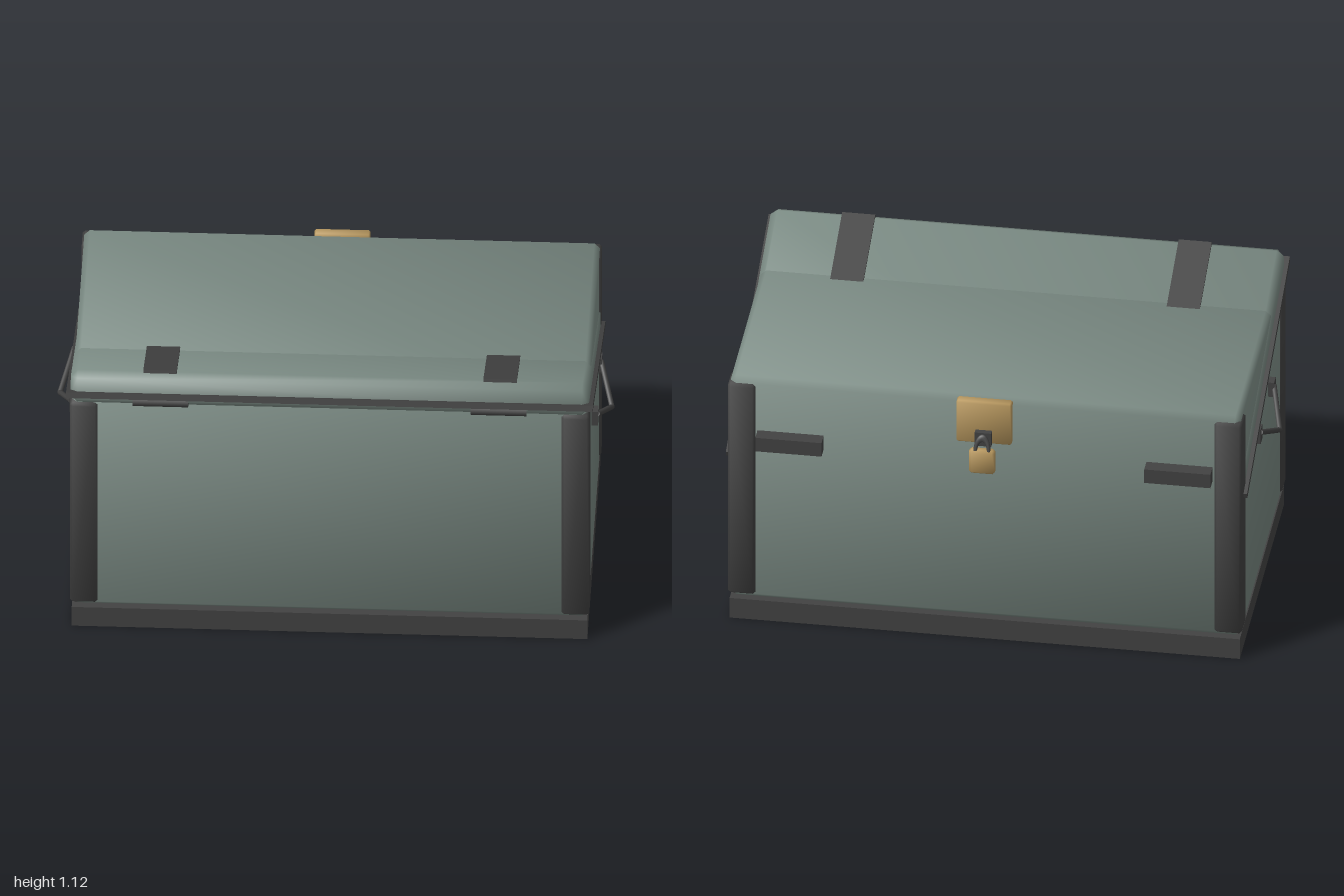
import * as THREE from 'three';
import { ConvexGeometry } from 'three/addons/geometries/ConvexGeometry.js';

const green = new THREE.MeshStandardMaterial({ color: 0x7c8c85 });
const dark = new THREE.MeshStandardMaterial({ color: 0x424242 });
const brass = new THREE.MeshStandardMaterial({ color: 0xb8985f });

// Box with cut edges and softly blended normals
function bevelBox(w, h, d, b) {
  const half = [w / 2, h / 2, d / 2];
  const points = [];
  for (const sx of [-1, 1]) for (const sy of [-1, 1]) for (const sz of [-1, 1]) {
    for (let full = 0; full < 3; full++) {
      const p = [sx, sy, sz].map((s, i) => s * (half[i] - (i === full ? 0 : b)));
      points.push(new THREE.Vector3(...p));
    }
  }
  const geo = new ConvexGeometry(points);
  const pos = geo.attributes.position;
  const n = new THREE.Vector3();
  for (let i = 0; i < pos.count; i++) {
    const c = [pos.getX(i), pos.getY(i), pos.getZ(i)]
      .map((v, k) => Math.sign(v) * (Math.abs(v) > half[k] - b / 2 ? 2.8 : 1.09));
    n.set(...c).normalize();
    geo.attributes.normal.setXYZ(i, n.x, n.y, n.z);
  }
  return geo;
}

function add(parent, name, geometry, material, x = 0, y = 0, z = 0) {
  const mesh = new THREE.Mesh(geometry, material);
  mesh.name = name;
  mesh.position.set(x, y, z);
  parent.add(mesh);
  return mesh;
}

// Round bar between two points
function addBar(parent, name, a, b, radius) {
  const dir = b.clone().sub(a);
  const mesh = add(parent, name, new THREE.CylinderGeometry(radius, radius, dir.length(), 8), dark);
  mesh.position.copy(a).add(b).multiplyScalar(0.5);
  mesh.quaternion.setFromUnitVectors(new THREE.Vector3(0, 1, 0), dir.normalize());
}

export function createModel() {
  const model = new THREE.Group();
  model.name = 'storageChest';

  // Base and body
  add(model, 'base', new THREE.BoxGeometry(1.85, 0.083, 1.05), dark, 0, 0.0415, 0.03);
  add(model, 'body', bevelBox(1.85, 0.927, 1.03, 0.02), green, 0, 0.5465, 0.03);

  // Corner posts
  for (const x of [-0.882, 0.882]) {
    for (const z of [-0.45, 0.51]) {
      add(model, 'cornerPost', bevelBox(0.1, 0.885, 0.1, 0.01), dark, x, 0.5475, z);
    }
  }

  // Tilted lid with its rim and straps
  const lid = new THREE.Group();
  lid.name = 'lid';
  lid.position.set(0, 0.85, 0.06);
  lid.rotation.x = -THREE.MathUtils.degToRad(20.1);
  model.add(lid);
  add(lid, 'lidPanel', bevelBox(1.86, 0.12, 1.06, 0.025), green, 0, 0.026, 0);
  add(lid, 'lidRim', new THREE.BoxGeometry(1.89, 0.022, 1.085), dark);
  for (const x of [-0.61, 0.61]) {
    add(lid, 'lidStrap', new THREE.BoxGeometry(0.12, 0.012, 1.03), dark, x, 0.088, 0);
  }

  for (const side of [-1, 1]) {
    // Hinge barrels
    const hinge = add(model, 'hinge', new THREE.CylinderGeometry(0.018, 0.018, 0.2, 12), dark,
      side * 0.607, 1.004, 0.55);
    hinge.rotation.z = Math.PI / 2;

    // Blocks on the latch side
    add(model, 'latchSideBlock', new THREE.BoxGeometry(0.24, 0.057, 0.06), dark, side * 0.705, 0.768, -0.507);

    // Folding carry handle
    const handle = new THREE.Group();
    handle.name = 'sideHandle';
    model.add(handle);
    const middle = new THREE.Vector3(side * 0.99, 0.65, 0.03);
    for (const dz of [-0.16, 0.16]) {
      add(handle, 'handleMount', new THREE.BoxGeometry(0.03, 0.06, 0.04), dark, side * 0.933, 0.727, 0.03 + dz);
      addBar(handle, 'handleBar', new THREE.Vector3(side * 0.945, 0.735, 0.03 + dz), middle, 0.01);
    }
    add(handle, 'handleElbow', new THREE.SphereGeometry(0.01, 8, 6), dark, middle.x, middle.y, middle.z);
  }

  // Latch plate, staple and padlock
  add(model, 'latchPlate', bevelBox(0.2, 0.172, 0.04, 0.006), brass, 0, 0.923, -0.496);
  add(model, 'staple', new THREE.BoxGeometry(0.06, 0.055, 0.03), dark, 0, 0.867, -0.522);
  const shackle = add(model, 'shackle', new THREE.TorusGeometry(0.024, 0.007, 8, 16, Math.PI), dark,
    0, 0.832, -0.56);
  shackle.rotation.x = 0.33;
  shackle.scale.y = 2;
  add(model, 'padlock', bevelBox(0.095, 0.098, 0.036, 0.01), brass, 0, 0.788, -0.553);

  return model;
}
